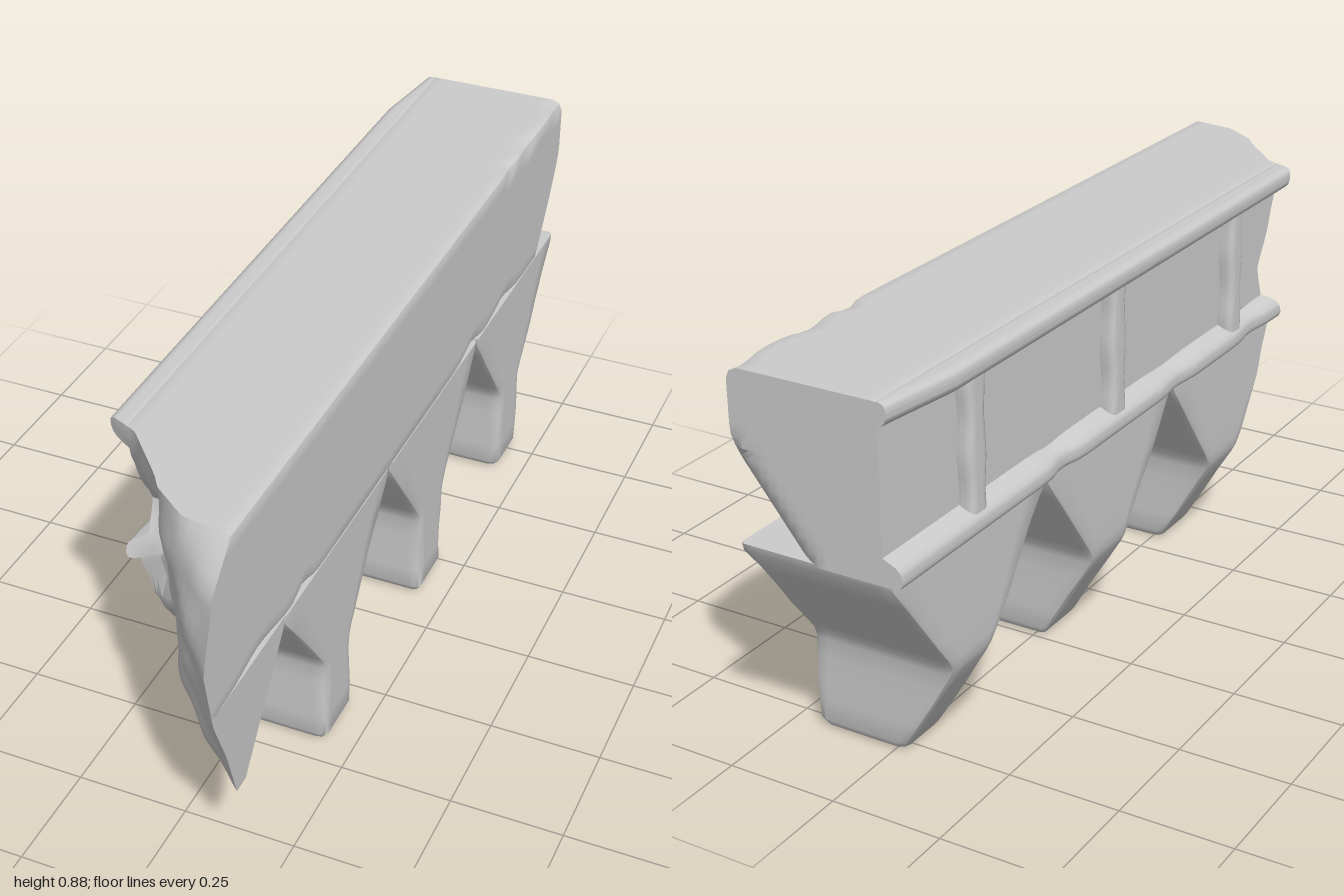
import * as THREE from 'three';
import { toCreasedNormals } from 'three/addons/utils/BufferGeometryUtils.js';

const { lerp, clamp } = THREE.MathUtils;
const material = new THREE.MeshStandardMaterial({ color: 0xcccccc });

// Piecewise linear lookup: keys ascending
function table(keys, values, k) {
  let i = 0;
  while (i < keys.length - 2 && k > keys[i + 1]) i++;
  return lerp(values[i], values[i + 1], clamp((k - keys[i]) / (keys[i + 1] - keys[i]), 0, 1));
}

// Depth of the jagged broken end at (x, y)
const BREAK_X = [-0.19, -0.12, -0.02, 0, 0.08, 0.19];
const BREAK_Y = [0.25, 0.38, 0.5, 0.65, 0.8, 0.88];
const BREAK_Z = [
  [0.5, 0.5, 0.5, 0.72, 0.79, 0.88],
  [0.54, 0.54, 0.56, 0.74, 0.83, 0.92],
  [0.61, 0.56, 0.62, 0.75, 0.86, 0.97],
  [0.55, 0.55, 0.61, 0.76, 0.88, 1.0],
  [0.61, 0.65, 0.74, 0.79, 0.88, 0.95],
  [0.62, 0.65, 0.76, 0.79, 0.85, 0.87],
];
function breakZ(x, y) {
  const z = table(BREAK_Y, BREAK_Z.map((row) => table(BREAK_X, row, x)), y);
  const fade = clamp((0.19 - x) * 10, 0, 1) * clamp((0.88 - y) * 10, 0, 1);
  return z + 0.012 * fade * Math.sin(41 * x + 9 * y) * Math.sin(27 * y - 13 * x);
}

// Depth of the rear end, with one lower corner knocked off
function rearZ(x, y) {
  const f = Math.max(0, x / 0.19 + (0.75 - y) / 0.24 - 1);
  return -1 + 0.15 * Math.pow(f, 1.25);
}

// Box grid whose vertices are placed by a rule of (u, v, w) in 0..1
function block(name, nx, ny, nz, rule, crease = 0.6) {
  const geometry = new THREE.BoxGeometry(1, 1, 1, nx, ny, nz);
  const p = geometry.attributes.position;
  for (let i = 0; i < p.count; i++) {
    p.setXYZ(i, ...rule(p.getX(i) + 0.5, p.getY(i) + 0.5, p.getZ(i) + 0.5));
  }
  const mesh = new THREE.Mesh(toCreasedNormals(geometry, crease), material);
  mesh.name = name;
  return mesh;
}

// Grid line position with the outermost cells exactly r wide
function span(t, n, a, b, r) {
  const i = Math.round(t * n);
  if (i === 0) return a;
  if (i === n) return b;
  return lerp(a + r, b - r, (i - 1) / (n - 2));
}

// Pull a rectangle's corner points onto a rounded corner
function roundCorner(p, q, [a, b], [c, d], r) {
  const ip = clamp(p, a + r, b - r), iq = clamp(q, c + r, d - r);
  const dp = p - ip, dq = q - iq;
  if (Math.abs(dp) < 1e-6 || Math.abs(dq) < 1e-6) return [p, q];
  const s = r / Math.hypot(dp, dq);
  return [ip + dp * s, iq + dq * s];
}

const bump = (z, at, width) => Math.exp(-(((z - at) / width) ** 2));

// Main beam with chipped long edges
function beam() {
  const nx = 18, ny = 16, nz = 70;
  return block('beam', nx, ny, nz, (u, v, w) => {
    const z0 = lerp(-1, 0.95, w);
    const top = v > 0.5;
    const r = 0.008 + (top
      ? 0.025 * (bump(z0, -0.97, 0.05) + bump(z0, -0.75, 0.05) + bump(z0, -0.62, 0.03))
      : 0.025 * (bump(z0, 0.72, 0.1) + bump(z0, 0.5, 0.04) + bump(z0, -0.52, 0.06) + bump(z0, -0.75, 0.08)));
    const edge = u > 0.5 ? r : 0.006;
    const xs = [-0.145, 0.19], ys = [0.512, 0.88];
    const [x, y] = roundCorner(span(u, nx, ...xs, edge), span(v, ny, ...ys, edge), xs, ys, edge);
    return [x, y, lerp(rearZ(x, y), breakZ(x, y), w)];
  });
}

// Long lip along the recessed side; dir is the way its inner slope flares
function lip(name, low, high, dir) {
  const nx = 6, ny = 6, nz = 50;
  return block(name, nx, ny, nz, (u, v, w) => {
    const z0 = lerp(-1, 0.62, w);
    const out = dir < 0
      ? -0.19 + 0.025 * clamp((-0.8 - z0) / 0.2, 0, 1)
      : -0.187 + 0.008 * bump(z0, 0.1, 0.05) + 0.012 * bump(z0, -0.4, 0.04) + 0.01 * bump(z0, 0.48, 0.06);
    const xs = [out, -0.13], ys = [low, high];
    let [x, y] = roundCorner(span(u, nx, ...xs, 0.014), span(v, ny, ...ys, 0.014), xs, ys, 0.014);
    // only the outer edge is rounded; the inner one is buried in the beam
    const inner = dir > 0 ? (y - low) / (high - low) : (high - y) / (high - low);
    y += dir * 0.02 * inner * clamp((x - out) / 0.045, 0, 1);
    return [x, y, lerp(-1, breakZ(x, y), w)];
  }, 0.9);
}

// Upright rib between the two lips
function rib(z) {
  const nx = 6, ny = 10, nz = 6;
  return block('rib', nx, ny, nz, (u, v, w) => {
    const y = lerp(0.53, 0.86, v);
    const half = 0.028 + 0.003 * Math.sin(40 * y + z * 9);
    const xs = [-0.178, -0.13], zs = [z - half, z + half];
    const [x, zz] = roundCorner(span(u, nx, ...xs, 0.012), span(w, nz, ...zs, 0.012), xs, zs, 0.012);
    return [x, y, zz];
  }, 0.9);
}

// Funnel-shaped foot: level, half depth in z, and outer side in x
const FOOT_Y = [0, 0.006, 0.02, 0.07, 0.12, 0.17, 0.215, 0.235, 0.26, 0.32, 0.38, 0.44, 0.497, 0.515];
const halfDepth = (y) => table([0, 0.006, 0.02, 0.21, 0.24, 0.497, 0.515],
  [0.055, 0.064, 0.07, 0.07, 0.079, 0.271, 0.275], y);
const outerX = (y) => table([0, 0.006, 0.02, 0.215, 0.24, 0.515],
  [-0.012, -0.022, -0.032, -0.148, -0.158, -0.16], y);

function foot(z) {
  const nx = 18, ny = FOOT_Y.length - 1, nz = 10;
  return block('foot', nx, ny, nz, (u, v, w) => {
    const y = FOOT_Y[Math.round(v * ny)];
    const h = halfDepth(y);
    const r = 0.015 + 0.005 * Math.sin(31 * y + 7 * z);
    const xs = [outerX(y), 0.19 - 0.012 * clamp(1 - y / 0.02, 0, 1)], zs = [z - h, z + h];
    const [x, zz] = roundCorner(span(u, nx, ...xs, r), span(w, nz, ...zs, r), xs, zs, r);
    return [x, y, Math.min(zz, breakZ(x, y))];
  });
}

// Remnant of the broken fourth foot, a tongue on one side only
function brokenFoot() {
  return block('brokenFoot', 12, 10, 6, (u, v, w) => {
    const x = lerp(-0.02, 0.19, u);
    const low = table([-0.02, 0, 0.08, 0.15, 0.19], [0.43, 0.38, 0.335, 0.28, 0.255], x);
    const y = lerp(low, 0.52, v);
    const front = breakZ(x, y);
    const back = Math.min(0.65 + (0.5 - Math.min(y, 0.5)) * 0.78, front - 0.01);
    return [x, y, lerp(back, front, w)];
  });
}

export function createModel() {
  const group = new THREE.Group();
  group.name = 'brokenRailing';
  group.add(beam(), lip('topLip', 0.838, 0.88, -1), lip('bottomLip', 0.512, 0.552, 1), brokenFoot());
  for (const z of [-0.72, -0.175, 0.375]) group.add(foot(z), rib(z));
  return group;
}
